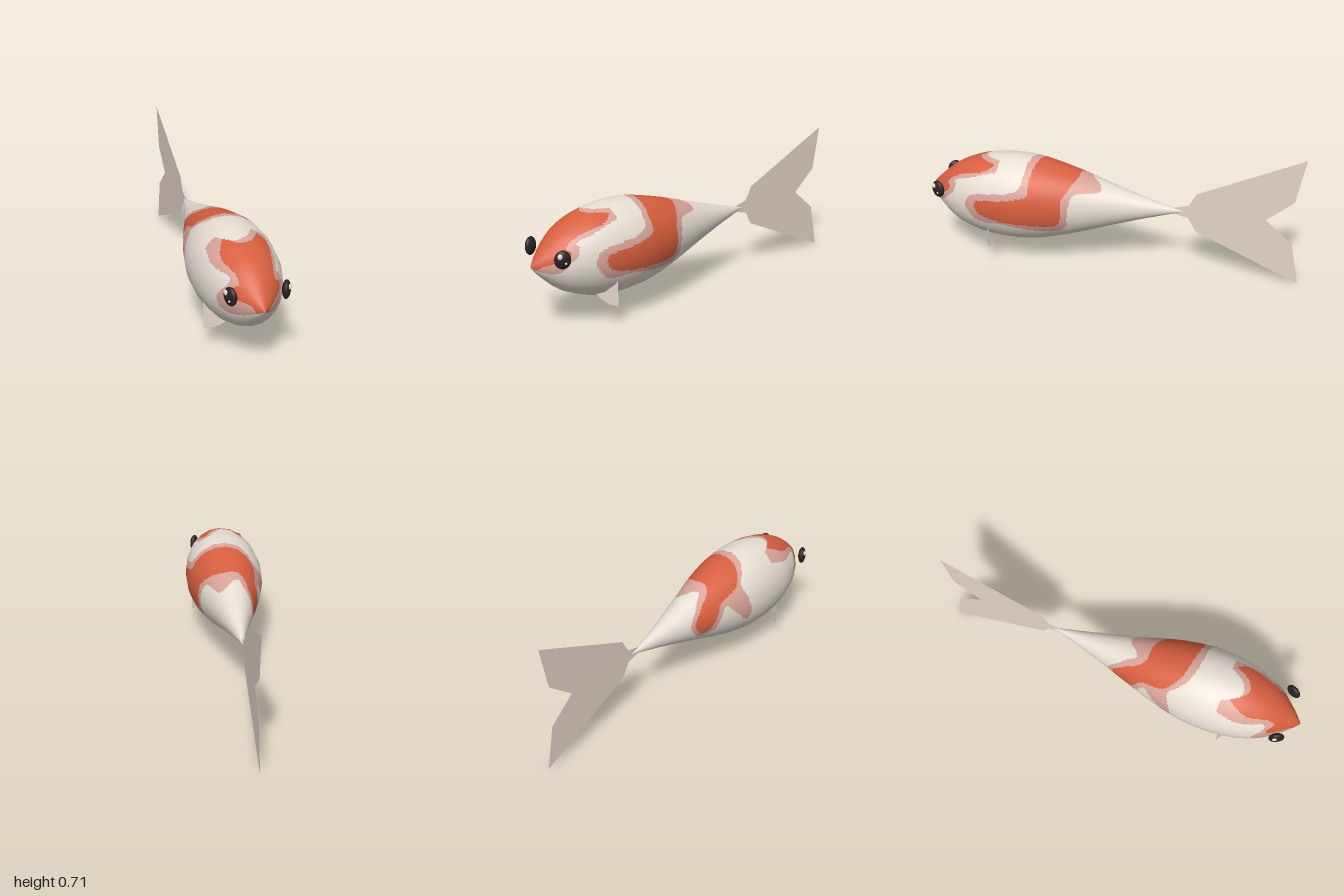
import * as THREE from 'three';

const mat = (name, color, side = THREE.FrontSide) => {
  const m = new THREE.MeshStandardMaterial({ color, side });
  m.name = name;
  return m;
};

// Body section: half width, half height, height of the long axis
const A = 0.212, B = 0.2365, CY = 0.353;

// Smooth closed outline through a few points
const outline = (pts) => new THREE.CatmullRomCurve3(
  pts.map(([u, v]) => new THREE.Vector3(u, v, 0)), true, 'catmullrom', 0.4
).getPoints(pts.length * 6);

function inside(poly, u, v) {
  let hit = false;
  for (let i = 0, j = poly.length - 1; i < poly.length; j = i++) {
    const p = poly[i], q = poly[j];
    if ((p.y > v) !== (q.y > v) && u < ((q.x - p.x) * (v - p.y)) / (q.y - p.y) + p.x) hit = !hit;
  }
  return hit;
}

// Saddle patch outlines as (z, degrees from the top, + is the left flank)
const saddle = (pts) => outline(pts.map(([z, d]) => [z, d / 300]));
const saddleRed = saddle([
  [0.375, 0], [0.4, 47], [0.405, 67], [0.515, 76], [0.665, 80], [0.69, 87], [0.675, 99],
  [0.595, 106], [0.435, 110], [0.265, 114], [0.23, 97], [0.23, 70], [0.2, 52], [0.16, 20],
  [0.16, 0], [0.155, -13], [0.12, -30], [0.06, -45], [-0.01, -80], [0.03, -112],
  [0.088, -104], [0.13, -80], [0.165, -60], [0.28, -50], [0.35, -25]]);
const saddlePink = saddle([
  [0.42, 0], [0.43, 35], [0.445, 57], [0.515, 67], [0.7, 72], [0.745, 87], [0.73, 99],
  [0.675, 113], [0.515, 113], [0.275, 126], [0.205, 118], [0.195, 92], [0.17, 58],
  [0.045, 42], [0.045, 18], [0.09, -5], [0.095, -17], [0.045, -32], [-0.035, -80],
  [0.02, -122], [0.11, -112], [0.14, -95], [0.185, -69], [0.237, -85], [0.325, -110],
  [0.355, -98], [0.33, -70], [0.315, -51], [0.39, -25]]);

// Head patch outlines as seen along the body axis (x, y)
const headRed = outline([
  [0, 0.566], [0.085, 0.562], [0.125, 0.525], [0.1, 0.48], [0.095, 0.44], [0.12, 0.42],
  [0.11, 0.385], [0.05, 0.36], [0.02, 0.338], [0, 0.352], [-0.03, 0.335], [-0.05, 0.368],
  [-0.12, 0.378], [-0.12, 0.415], [-0.085, 0.44], [-0.088, 0.475], [-0.122, 0.51], [-0.085, 0.56]]);
const headPink = outline([
  [0, 0.574], [0.08, 0.572], [0.125, 0.545], [0.137, 0.5], [0.115, 0.46], [0.13, 0.445],
  [0.14, 0.4], [0.115, 0.35], [0.1, 0.328], [0.07, 0.318], [0.03, 0.33], [0, 0.352],
  [-0.04, 0.325], [-0.08, 0.3], [-0.12, 0.288], [-0.155, 0.31], [-0.16, 0.37],
  [-0.13, 0.42], [-0.113, 0.45], [-0.12, 0.465], [-0.16, 0.47], [-0.155, 0.51], [-0.12, 0.55]]);

// 0 = base, 1 = pale rim, 2 = red patch
function colourAt(z, phi, R) {
  const s = (phi * 180) / Math.PI / 300;
  const x = A * R * Math.sin(phi), y = CY + B * R * Math.cos(phi);
  const head = z > 0.58;
  if (inside(saddleRed, z, s) || (head && inside(headRed, x, y))) return 2;
  if (inside(saddlePink, z, s) || (head && inside(headPink, x, y))) return 1;
  return 0;
}

// Twenty-sided tapered body, finely divided so that patches follow its faces
function bodyGeometry() {
  const profile = new THREE.SplineCurve([
    [1, 0], [0.975, 0.13], [0.94, 0.29], [0.87, 0.555], [0.8, 0.74], [0.7, 0.9], [0.6, 0.975],
    [0.5, 1], [0.4, 0.97], [0.3, 0.885], [0.2, 0.77], [0.1, 0.635], [0, 0.495], [-0.1, 0.36],
    [-0.2, 0.23], [-0.3, 0.11], [-0.39, 0]].map(([z, r]) => new THREE.Vector2(z, r)));
  const rows = 224, sides = 20, cols = sides * 9, step = (2 * Math.PI) / sides;
  const pos = [], nor = [], faces = [[], [], []];
  const n = new THREE.Vector3();
  for (let i = 0; i <= rows; i++) {
    const p = profile.getPoint(i / rows), t = profile.getTangent(i / rows);
    const R = Math.max(p.y, 0);
    for (let j = 0; j <= cols; j++) {
      const phi = -Math.PI + (2 * Math.PI * j) / cols;
      const local = (((j % 9) / 9) - 0.5) * step;
      const r = (R * Math.cos(step / 2)) / Math.cos(local);
      pos.push(A * r * Math.sin(phi), CY + B * r * Math.cos(phi), p.x);
      n.set((-t.x * Math.sin(phi)) / A, (-t.x * Math.cos(phi)) / B, t.y).normalize();
      nor.push(n.x, n.y, n.z);
    }
    if (i === rows) break;
    const mid = profile.getPoint((i + 0.5) / rows);
    for (let j = 0; j < cols; j++) {
      const phi = -Math.PI + (2 * Math.PI * (j + 0.5)) / cols;
      const a = i * (cols + 1) + j, b = a + cols + 1;
      faces[colourAt(mid.x, phi, mid.y)].push(a, a + 1, b, a + 1, b + 1, b);
    }
  }
  const g = new THREE.BufferGeometry();
  g.setAttribute('position', new THREE.Float32BufferAttribute(pos, 3));
  g.setAttribute('normal', new THREE.Float32BufferAttribute(nor, 3));
  g.setIndex(faces.flat());
  let start = 0;
  faces.forEach((f, k) => { g.addGroup(start, f.length, k); start += f.length; });
  return g;
}

// Flat fin outline, with a rule that places each 2D point in space
function finGeometry(pts, place) {
  const g = new THREE.ShapeGeometry(new THREE.Shape(pts.map(([u, v]) => new THREE.Vector2(u, v))));
  const p = g.attributes.position;
  for (let i = 0; i < p.count; i++) p.setXYZ(i, ...place(p.getX(i), p.getY(i)));
  g.computeVertexNormals();
  return g;
}

export function createModel() {
  const model = new THREE.Group();
  model.name = 'fish';
  const cream = mat('cream', 0xe8dfd6);
  const pink = mat('pale pink', 0xd7a399);
  const red = mat('orange red', 0xd85f3f);
  const finMat = mat('fin beige', 0xe2d4c9, THREE.DoubleSide);
  const dark = mat('eye dark', 0x2c2222);
  const white = mat('eye glint', 0xf7f2ee);

  const add = (parent, name, geometry, material) => {
    const m = new THREE.Mesh(geometry, material);
    m.name = name;
    parent.add(m);
    return m;
  };

  add(model, 'body', bodyGeometry(), [cream, pink, red]);

  // Forked tail: upper half mirrored below the axis
  const half = [[-0.33, 0.015], [-0.415, 0.036], [-0.455, 0.108], [-1, 0.353], [-0.955, 0.117]];
  const tail = [...half, [-0.815, 0], ...half.map(([z, y]) => [z, -y]).reverse()];
  add(model, 'tailFin', finGeometry(tail, (z, y) => [0, CY + y, z]), finMat);

  // Slanted side fins and bulging eyes
  const fin = [[0.175, 0.25], [0.175, 0.102], [0.135, 0.11], [0.103, 0.13], [0.08, 0.155], [0.09, 0.2]];
  const ball = new THREE.SphereGeometry(1, 24, 16);
  for (const s of [1, -1]) {
    const side = s > 0 ? 'left' : 'right';
    add(model, side + 'SideFin',
      finGeometry(fin, (x, y) => [s * x, y, 0.62 + (0.175 - x) * 0.63]), finMat);

    const eye = new THREE.Group();
    eye.name = side + 'Eye';
    eye.position.set(s * 0.133, 0.405, 0.907);
    eye.rotation.y = s > 0 ? -0.436 : Math.PI + 0.436;
    add(eye, 'eyeball', ball, dark).scale.set(0.02, 0.046, 0.04);
    const big = add(eye, 'largeGlint', ball, white);
    big.scale.set(0.007, 0.014, 0.012);
    big.position.set(0.016, 0.02, 0.014);
    const small = add(eye, 'smallGlint', ball, white);
    small.scale.set(0.004, 0.006, 0.006);
    small.position.set(0.018, -0.014, -0.012);
    model.add(eye);
  }
  return model;
}
